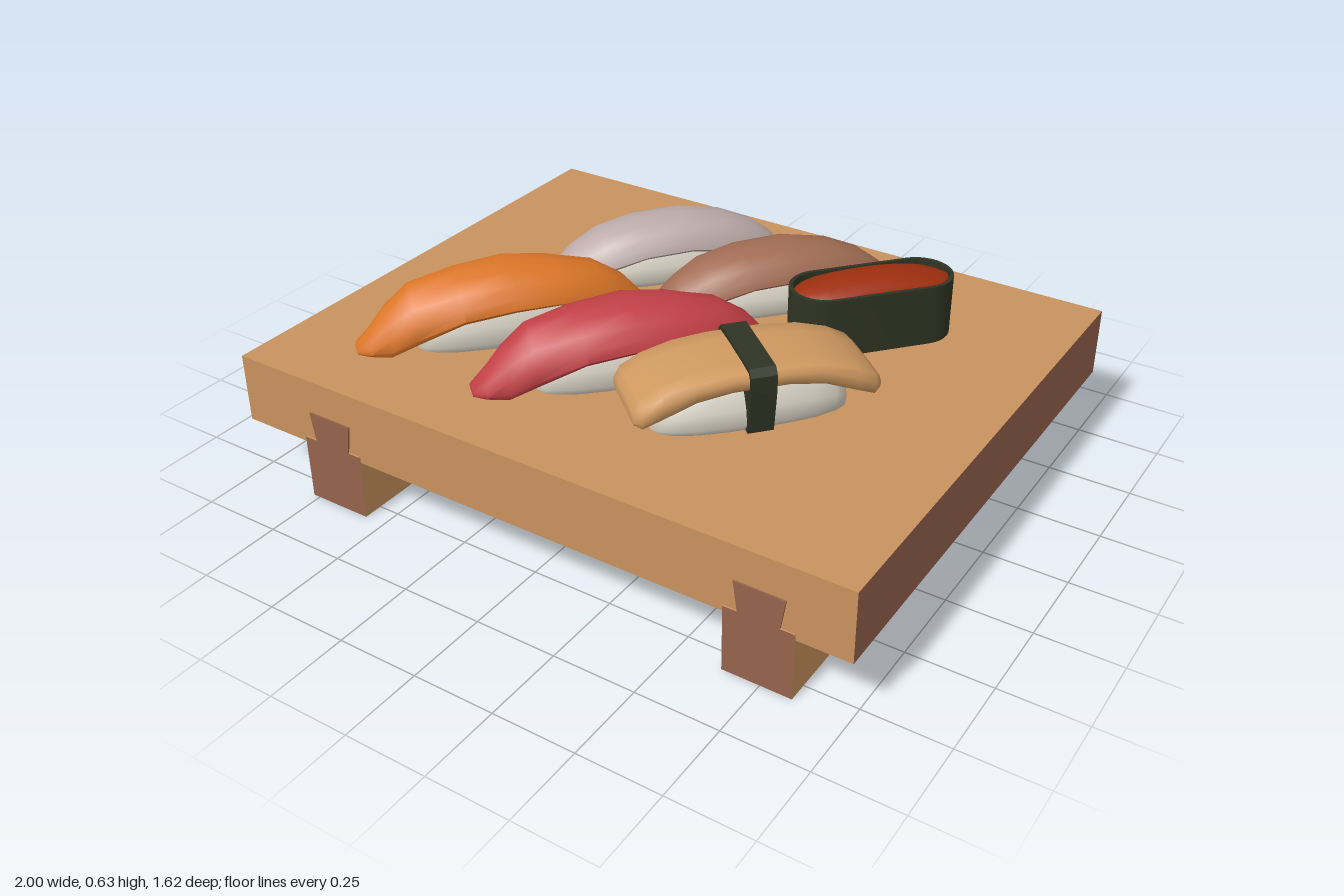
import * as THREE from 'three';
import { toCreasedNormals } from 'three/addons/utils/BufferGeometryUtils.js';

const mat = (name, color, side = THREE.FrontSide) => {
  const m = new THREE.MeshStandardMaterial({ color, side });
  m.name = name;
  return m;
};

const DECK = 0.4; // height of the board's top
const DOME = [[-0.88, 0], [-1, 0.14], [-0.93, 0.42], [-0.72, 0.72], [-0.4, 0.93], [0, 1],
  [0.4, 0.93], [0.72, 0.72], [0.93, 0.42], [1, 0.14], [0.88, 0]];
const SLAB = [[-0.92, 0], [-1, 0.25], [-1, 0.65], [-0.9, 0.95], [-0.5, 1], [0.5, 1],
  [0.9, 0.95], [1, 0.65], [1, 0.25], [0.92, 0]];

// Solid along x through sections [x, halfWidth, bottom, top] of one cross-section
function loft(sections, profile) {
  const n = profile.length, pos = [], idx = [];
  for (const [x, w, b, t] of sections) {
    for (const [s, h] of profile) pos.push(x, b + h * (t - b), s * w);
  }
  for (let k = 0; k < sections.length - 1; k++) {
    for (let i = 0; i < n; i++) {
      const a = k * n + i, c = k * n + (i + 1) % n;
      idx.push(a, c, a + n, c, c + n, a + n);
    }
  }
  const last = (sections.length - 1) * n;
  for (let i = 1; i < n - 1; i++) idx.push(0, i + 1, i, last, last + i, last + i + 1);
  const g = new THREE.BufferGeometry();
  g.setAttribute('position', new THREE.Float32BufferAttribute(pos, 3));
  g.setIndex(idx);
  return toCreasedNormals(g, 0.9);
}

// Pill outline, long along x
function pill(half, r) {
  const s = new THREE.Shape();
  s.moveTo(-half, -r);
  s.lineTo(half, -r);
  s.absarc(half, 0, r, -Math.PI / 2, Math.PI / 2, false);
  s.lineTo(-half, r);
  s.absarc(-half, 0, r, Math.PI / 2, Math.PI * 1.5, false);
  return s;
}

export function createModel() {
  const root = new THREE.Group();
  root.name = 'sushiBoard';
  const wood = mat('wood', 0xc8925e);
  const endGrain = mat('endGrain', 0x95644d);
  const riceMat = mat('rice', 0xd6d0c2);
  const seaweed = mat('seaweed', 0x2f3423);
  const roeMat = mat('roe', 0x9e2e0e);
  const orange = mat('orangeFish', 0xdc7628);
  const red = mat('redFish', 0xc24046);
  const silver = mat('silverFish', 0xbbaaa9);
  const brown = mat('brownFish', 0xa16c53);
  const eggMat = mat('egg', 0xcf9960);

  const add = (parent, name, geo, material) => {
    const m = new THREE.Mesh(geo, material);
    m.name = name;
    parent.add(m);
    return m;
  };

  // Board with end grain on its left and right faces
  add(root, 'board', new THREE.BoxGeometry(2, 0.215, 1.61),
    [endGrain, endGrain, wood, wood, wood, wood]).position.y = 0.2925;

  // Legs with end grain front and back, and dovetail keys above
  for (const [x, side] of [[-0.67, 'right'], [0.74, 'left']]) {
    add(root, side + 'Leg', new THREE.BoxGeometry(0.205, 0.205, 1.62),
      [wood, wood, wood, wood, endGrain, endGrain]).position.set(x, 0.1025, 0);
    const key = new THREE.Shape([[-0.06, 0.2], [0.06, 0.2], [0.075, 0.295], [-0.075, 0.295]]
      .map(p => new THREE.Vector2(...p)));
    const geo = new THREE.ExtrudeGeometry(key, { depth: 1.62, bevelEnabled: false });
    add(root, side + 'Dovetail', geo, endGrain).position.set(x, 0, -0.81);
  }

  const piece = (name, x, z, angle) => {
    const g = new THREE.Group();
    g.name = name;
    g.position.set(x, 0, z);
    g.rotation.y = angle;
    root.add(g);
    return g;
  };

  // Rounded pillow of rice
  const addRice = (g, a, w, top) => {
    const sections = [-1, -0.94, -0.82, -0.6, -0.3, 0, 0.3, 0.6, 0.82, 0.94, 1].map(u => {
      const k = Math.pow(1 - Math.pow(Math.abs(u), 3), 0.5);
      return [u * a, w * (0.3 + 0.7 * k), DECK, DECK + (top - DECK) * (0.3 + 0.7 * k)];
    });
    add(g, 'rice', loft(sections, DOME), riceMat);
  };

  // Long pointed fish slices draped down to the board
  const longSlice = [
    [-0.455, 0.03, 0.401, 0.425], [-0.42, 0.06, 0.401, 0.455], [-0.36, 0.083, 0.402, 0.53],
    [-0.29, 0.108, 0.44, 0.587], [-0.15, 0.138, 0.502, 0.615], [0, 0.146, 0.522, 0.63],
    [0.13, 0.138, 0.522, 0.612], [0.26, 0.112, 0.49, 0.585], [0.35, 0.083, 0.43, 0.53],
    [0.41, 0.06, 0.403, 0.46], [0.445, 0.03, 0.402, 0.425]];
  // Shorter, blunter slices
  const shortSlice = [
    [-0.385, 0.045, 0.401, 0.43], [-0.365, 0.068, 0.401, 0.465], [-0.31, 0.092, 0.41, 0.52],
    [-0.22, 0.118, 0.465, 0.567], [-0.1, 0.13, 0.5, 0.59], [0.05, 0.132, 0.508, 0.597],
    [0.18, 0.122, 0.485, 0.575], [0.28, 0.102, 0.43, 0.535], [0.345, 0.08, 0.402, 0.485],
    [0.375, 0.062, 0.401, 0.445], [0.39, 0.04, 0.401, 0.42]];
  for (const [name, x, z, slice, material, top] of [
    ['orangeNigiri', -0.445, 0.257, longSlice, orange, 0.57],
    ['redNigiri', -0.015, 0.257, longSlice, red, 0.57],
    ['silverNigiri', -0.268, -0.33, shortSlice, silver, 0.55],
    ['brownNigiri', 0.118, -0.33, shortSlice, brown, 0.55]]) {
    const g = piece(name, x, z, 0.86);
    addRice(g, 0.28, 0.118, top);
    add(g, 'fishSlice', loft(slice, DOME), material);
  }

  // Egg slab on rice, tied with a seaweed band
  const egg = piece('eggNigiri', 0.372, 0.257, 0.855);
  addRice(egg, 0.28, 0.12, 0.555);
  const half = [[0.345, 0.112, 0.468, 0.505], [0.325, 0.132, 0.463, 0.525],
    [0.27, 0.136, 0.485, 0.553], [0.18, 0.136, 0.52, 0.578], [0.08, 0.136, 0.535, 0.588]];
  const mirrored = half.map(([x, ...rest]) => [-x, ...rest]);
  add(egg, 'eggSlab', loft([...mirrored, ...half.slice().reverse()], SLAB), eggMat);
  const band = new THREE.Shape([[-0.126, DECK], [0.126, DECK], [0.143, 0.53], [0.143, 0.58],
    [0.125, 0.6], [-0.125, 0.6], [-0.143, 0.58], [-0.143, 0.53]].map(p => new THREE.Vector2(...p)));
  const bandMesh = add(egg, 'seaweedBand',
    new THREE.ExtrudeGeometry(band, { depth: 0.074, bevelEnabled: false }), seaweed);
  bandMesh.rotation.y = Math.PI / 2;
  bandMesh.position.x = -0.037;

  // Roe cup: seaweed wall around a shallow dome of roe
  const cup = piece('roeCup', 0.467, -0.29, 0.855);
  const wall = pill(0.15, 0.1);
  wall.holes.push(pill(0.15, 0.088));
  const wallGeo = new THREE.ExtrudeGeometry(wall, { depth: 0.185, bevelEnabled: false, curveSegments: 10 });
  wallGeo.rotateX(-Math.PI / 2);
  add(cup, 'seaweedWall', toCreasedNormals(wallGeo, 0.7), seaweed).position.y = DECK;
  const roe = [];
  for (let i = 0; i <= 14; i++) {
    const x = -0.238 * Math.cos(Math.PI * i / 14);
    const over = Math.max(0, Math.abs(x) - 0.15);
    const w = Math.max(0.01, Math.sqrt(Math.max(0, 0.09 * 0.09 - over * over)));
    roe.push([x, w, 0.545, 0.572 + 0.04 * (1 - (x / 0.238) ** 2)]);
  }
  const roeProfile = [[-0.98, 0], [-1, 0.4], [-0.8, 0.68], [-0.45, 0.92], [0, 1],
    [0.45, 0.92], [0.8, 0.68], [1, 0.4], [0.98, 0]];
  add(cup, 'roe', loft(roe, roeProfile), roeMat);

  return root;
}
